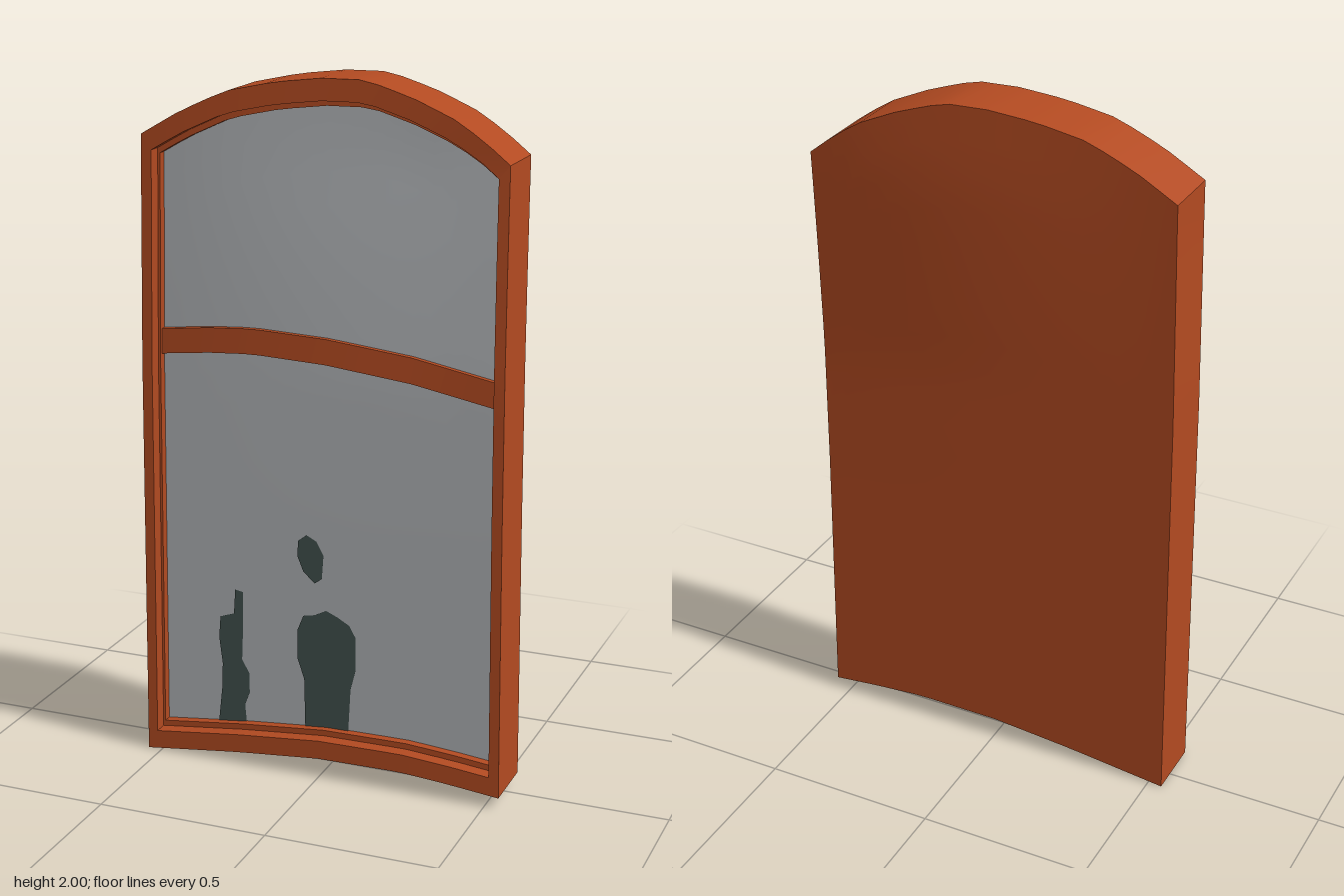
import * as THREE from 'three';

// piecewise-linear curve through [position, value] pairs
const curve = (pts) => (p) => {
  let i = 1;
  while (i < pts.length - 1 && p > pts[i][0]) i++;
  const [a, b] = [pts[i - 1], pts[i]];
  return a[1] + (b[1] - a[1]) * (p - a[0]) / (b[0] - a[0]);
};

// crooked outline and twist of the frame
const bottomY = curve([[-0.54, 0], [-0.25, 0.035], [0, 0.058], [0.25, 0.06], [0.4, 0.048], [0.54, 0.033]]);
const topY = curve([[-0.52, 1.825], [-0.4, 1.895], [-0.27, 1.955], [-0.13, 1.985], [0, 2], [0.12, 2],
  [0.25, 1.958], [0.36, 1.91], [0.44, 1.86], [0.515, 1.8]]);
const halfW = curve([[0, 0.542], [1.2, 0.53], [1.8, 0.517], [2, 0.515]]);
const barY = curve([[-0.5, 1.235], [-0.35, 1.252], [-0.22, 1.26], [0, 1.25], [0.25, 1.222], [0.5, 1.175]]);
const lean = curve([[0, 0], [0.8, 0.04], [1.2, 0.15], [1.5, 0.55], [1.8, 1], [2, 1]]);
const warpZ = (x, y) => -0.056 * THREE.MathUtils.smoothstep(x, -0.5, 0.42) * lean(y);
const place = (x, y, z) => [x, y, z + warpZ(x, y)];

// point of an inset copy of the outline; u runs left to right, v bottom to top
function point(ring, u, v) {
  const yEst = THREE.MathUtils.lerp(0.03, 1.82, v);
  const x = (2 * u - 1) * (halfW(yEst) - ring.side);
  const y = THREE.MathUtils.lerp(bottomY(x) + ring.low, topY(x) - ring.high, v);
  return place(x, y, ring.z);
}

// surface grid from f(s, t)
function patch(f, ns, nt, name, material) {
  const pos = [], index = [];
  for (let j = 0; j <= nt; j++) for (let i = 0; i <= ns; i++) pos.push(...f(i / ns, j / nt));
  for (let j = 0; j < nt; j++) for (let i = 0; i < ns; i++) {
    const a = j * (ns + 1) + i, d = a + ns + 1;
    index.push(a, a + 1, d + 1, a, d + 1, d);
  }
  const g = new THREE.BufferGeometry();
  g.setAttribute('position', new THREE.Float32BufferAttribute(pos, 3));
  g.setIndex(index);
  g.computeVertexNormals();
  const mesh = new THREE.Mesh(g, material);
  mesh.name = name;
  return mesh;
}

export function createModel() {
  const material = (name, color) => {
    const m = new THREE.MeshStandardMaterial({ color });
    m.name = name;
    return m;
  };
  const wood = material('orange wood', 0xb24a21);
  const glass = material('grey glass', 0xb0b3b6);
  const dark = material('dark silhouette', 0x41514e);

  const model = new THREE.Group();
  model.name = 'crookedWindow';

  // frame: rings from the back edge, over the front lip, down to the glass
  const ring = (side, low, high, z) => ({ side, low, high, z });
  const rings = [
    ring(0, 0, 0, -0.065), ring(0, 0, 0, 0.115), ring(0.03, 0.055, 0.06, 0.115),
    ring(0.03, 0.055, 0.06, 0.075), ring(0.037, 0.072, 0.078, 0.075), ring(0.037, 0.072, 0.078, 0.05),
  ];
  const edges = [
    ['bottomRail', (s) => [s, 0]], ['leftPost', (s) => [1, s]],
    ['topArch', (s) => [1 - s, 1]], ['rightPost', (s) => [0, 1 - s]],
  ];
  const frame = new THREE.Group();
  frame.name = 'frame';
  for (const [name, uv] of edges) {
    const part = new THREE.Group();
    part.name = name;
    for (let k = 1; k < rings.length; k++) {
      part.add(patch((s, t) => {
        const a = point(rings[k - 1], ...uv(s)), b = point(rings[k], ...uv(s));
        return a.map((c, i) => c + (b[i] - c) * t);
      }, 20, 1, name + 'Face', wood));
    }
    frame.add(part);
  }
  frame.add(patch((s, t) => point(rings[0], 1 - s, t), 20, 20, 'backBoard', wood));
  model.add(frame);

  // glass pane
  model.add(patch((s, t) => point(rings[5], s, t), 20, 20, 'glassPane', glass));

  // curved crossbar: bottom, front and top faces
  const bar = new THREE.Group();
  bar.name = 'crossbar';
  const section = [[-0.036, 0.045], [-0.036, 0.066], [0.036, 0.066], [0.036, 0.045]];
  for (let k = 0; k < 3; k++) {
    bar.add(patch((s, t) => {
      const x = -0.492 + 0.987 * s, [dy, z] = section[k + t];
      return place(x, barY(x) + dy, z);
    }, 20, 1, 'crossbarFace', wood));
  }
  model.add(bar);

  // silhouettes on the glass
  const figures = {
    sideFigure: [[-0.34, 0.09], [-0.25, 0.1], [-0.255, 0.16], [-0.24, 0.2], [-0.24, 0.26], [-0.263, 0.3],
      [-0.258, 0.42], [-0.258, 0.51], [-0.282, 0.515], [-0.287, 0.44], [-0.33, 0.425], [-0.335, 0.36],
      [-0.325, 0.28], [-0.328, 0.2]],
    figureBody: [[-0.065, 0.115], [0.068, 0.125], [0.075, 0.26], [0.09, 0.32], [0.09, 0.42], [0.07, 0.455],
      [0.035, 0.475], [0, 0.49], [-0.035, 0.472], [-0.07, 0.465], [-0.088, 0.42], [-0.088, 0.33],
      [-0.068, 0.27]],
    figureHead: [[-0.088, 0.645], [-0.07, 0.6], [-0.035, 0.568], [-0.013, 0.585], [-0.008, 0.655],
      [-0.03, 0.695], [-0.06, 0.71], [-0.085, 0.69]],
  };
  for (const [name, pts] of Object.entries(figures)) {
    const g = new THREE.ShapeGeometry(new THREE.Shape(pts.map(([x, y]) => new THREE.Vector2(x, y))));
    const p = g.attributes.position;
    for (let i = 0; i < p.count; i++) p.setXYZ(i, ...place(p.getX(i), p.getY(i), 0.054));
    g.computeVertexNormals();
    const mesh = new THREE.Mesh(g, dark);
    mesh.name = name;
    model.add(mesh);
  }
  return model;
}
